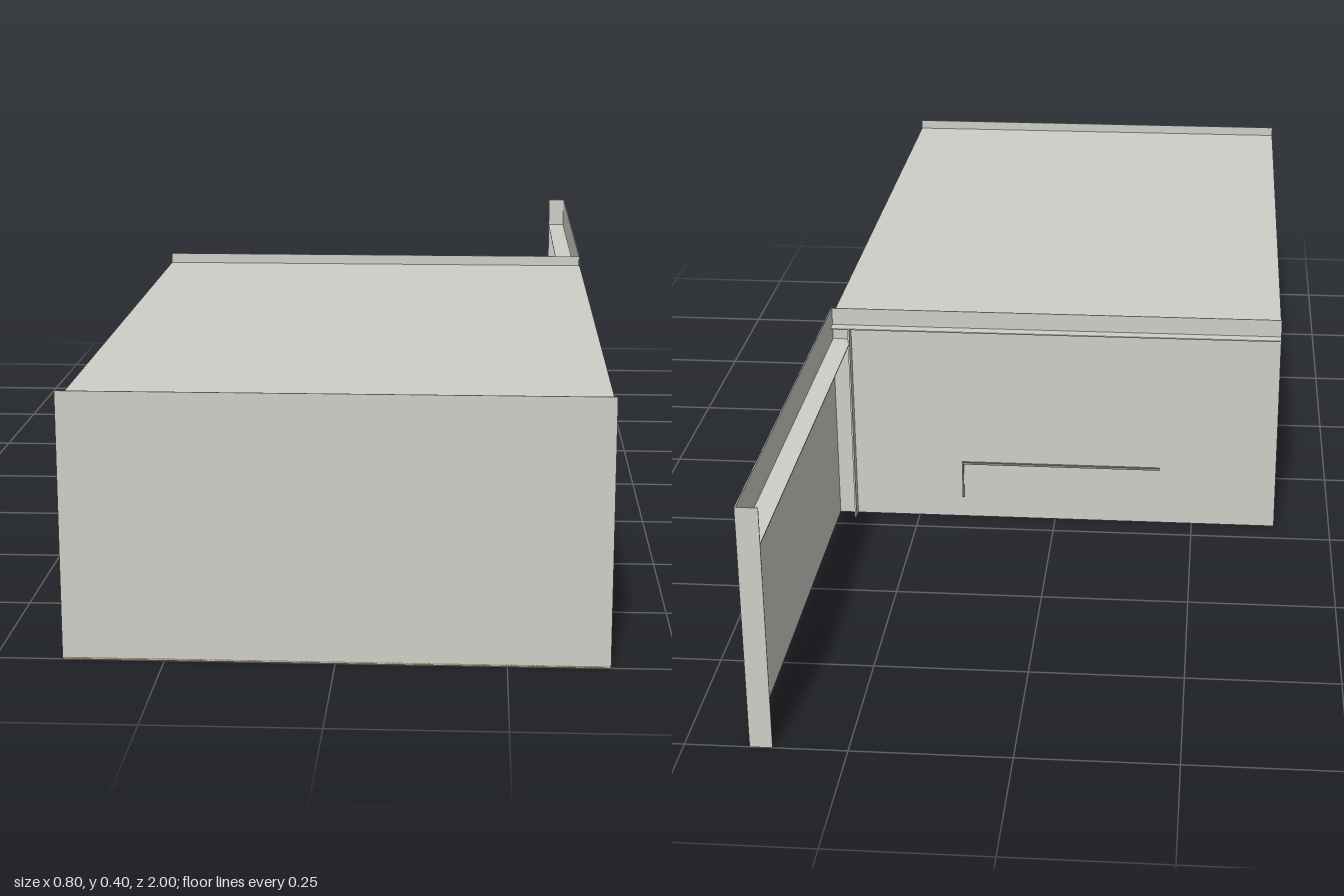
import * as THREE from 'three';

const mat = (name, color) => {
  const m = new THREE.MeshStandardMaterial({ color, side: THREE.DoubleSide });
  m.name = name;
  return m;
};

export function createModel() {
  const plaster = mat('plaster', 0xcfcfc9);
  const wood = mat('floorWood', 0x9c7b56);
  const metal = mat('metal', 0x85878a);
  const dark = mat('darkWood', 0x33302c);
  const brown = mat('seatBrown', 0x6e5c48);
  const potGrey = mat('potGrey', 0x9a9a96);
  const leafGreen = mat('leafGreen', 0x34382e);
  const root = new THREE.Group();

  const add = (parent, name, geo, m, x = 0, y = 0, z = 0) => {
    const mesh = new THREE.Mesh(geo, m);
    mesh.name = name;
    mesh.position.set(x, y, z);
    parent.add(mesh);
    return mesh;
  };
  // box given by its min and max corners
  const box = (parent, name, m, x0, x1, y0, y1, z0, z1) =>
    add(parent, name, new THREE.BoxGeometry(x1 - x0, y1 - y0, z1 - z0), m,
      (x0 + x1) / 2, (y0 + y1) / 2, (z0 + z1) / 2);
  const group = (name, x = 0, y = 0, z = 0) => {
    const g = new THREE.Group();
    g.name = name;
    g.position.set(x, y, z);
    root.add(g);
    return g;
  };
  // thin bar between two points
  const bar = (parent, name, m, a, b, r, sides = 6) => {
    const A = new THREE.Vector3(...a), B = new THREE.Vector3(...b);
    const d = B.clone().sub(A);
    const mesh = add(parent, name, new THREE.CylinderGeometry(r, r, d.length(), sides), m);
    mesh.position.copy(A).add(B).multiplyScalar(0.5);
    mesh.quaternion.setFromUnitVectors(new THREE.Vector3(0, 1, 0), d.normalize());
    return mesh;
  };

  // building shell
  const T = 0.002;
  box(root, 'floor', wood, -0.4, 0.4, 0.001, 0.003, -0.2, 1);
  box(root, 'roof', plaster, -0.4, 0.4, 0.383, 0.385, -0.2, 1);
  box(root, 'frontWall', plaster, -0.4, 0.4, 0, 0.403, 1 - T, 1);
  box(root, 'backWall', plaster, -0.4, 0.4, 0, 0.403, -0.2 - T, -0.2);
  box(root, 'backLedge', plaster, -0.4, 0.4, 0.37, 0.372, -0.222, -0.2);

  // garden wall running back from the house
  box(root, 'gardenWall', plaster, 0.4 - T, 0.4, 0, 0.403, -1, -0.19);
  box(root, 'gardenWallReturn', plaster, 0.365, 0.4, 0, 0.403, -1, -1 + T);
  box(root, 'gardenWallLedge', plaster, 0.365, 0.4, 0.343, 0.345, -1, -0.2);
  box(root, 'gardenWallPost', plaster, 0.365, 0.368, 0, 0.37, -0.222, -0.2);
  for (let i = 0; i < 4; i++)
    box(root, 'wallSpot', dark, 0.396, 0.402, 0.338, 0.342, -0.302 - i * 0.2, -0.298 - i * 0.2);

  // glazed right side: header ledge and slim mullions
  box(root, 'headerLedge', plaster, 0.37, 0.4, 0.343, 0.345, -0.2, 1);
  for (let i = 1; i < 8; i++) {
    const z = 1 - i * 0.1525;
    box(root, 'mullion', metal, 0.385, 0.4, 0.003, 0.345, z - 0.0008, z + 0.0008);
  }

  // sliding panels on the left side, on a bottom rail
  box(root, 'bottomRail', metal, -0.39, -0.375, 0.003, 0.014, -0.09, 0.998);
  for (let i = 0; i < 4; i++) {
    const z1 = 0.91 - i * 0.25;
    box(root, 'slidingPanel', plaster, -0.38, -0.375, 0.014, 0.35, z1 - 0.248, z1);
    box(root, 'panelEdge', metal, -0.382, -0.373, 0.014, 0.35, z1 - 0.25, z1 - 0.248);
    box(root, 'panelBlind', plaster, -0.374, -0.371, i === 3 ? 0.305 : 0.322, 0.348, z1 - 0.242, z1 - 0.006);
  }

  // dining table
  const table = group('table', 0.15, 0, 0.43);
  box(table, 'tableTop', dark, -0.055, 0.055, 0.09, 0.095, -0.08, 0.08);
  for (const sx of [-1, 1]) for (const sz of [-1, 1])
    bar(table, 'tableLeg', dark, [sx * 0.045, 0.003, sz * 0.058], [sx * 0.045, 0.09, sz * 0.05], 0.0025);
  for (const [x, z] of [[-0.02, -0.04], [0.02, 0.0], [-0.01, 0.04]])
    add(table, 'cup', new THREE.CylinderGeometry(0.005, 0.004, 0.01, 10), potGrey, x, 0.1, z);

  // chairs, the backrest on local -z
  const chair = (x, z, turn, m) => {
    const c = group('chair', x, 0, z);
    c.rotation.y = turn;
    box(c, 'seat', dark, -0.028, 0.028, 0.05, 0.057, -0.028, 0.03);
    const back = box(c, 'backrest', m, -0.03, 0.03, 0.066, 0.105, -0.032, -0.026);
    back.rotation.x = -0.15;
    for (const s of [-1, 1]) {
      bar(c, 'frontLeg', dark, [s * 0.03, 0.003, 0.034], [s * 0.023, 0.052, 0.022], 0.003);
      bar(c, 'backLeg', dark, [s * 0.03, 0.003, -0.038], [s * 0.023, 0.052, -0.018], 0.003);
      bar(c, 'backPost', dark, [s * 0.022, 0.052, -0.022], [s * 0.022, 0.085, -0.029], 0.003);
      box(c, 'armrest', dark, s * 0.029 - 0.002, s * 0.029 + 0.002, 0.07, 0.074, -0.028, 0.005);
    }
  };
  chair(0.13, 0.582, 0, dark);
  chair(0.13, 0.262, Math.PI, dark);
  chair(0.24, 0.425, -Math.PI / 2, brown);
  chair(0.05, 0.425, Math.PI / 2, brown);

  // pendant lights and ceiling spots
  for (const z of [0.38, 0.465]) {
    bar(root, 'pendantCord', dark, [0.15, 0.29, z], [0.15, 0.383, z], 0.0012);
    add(root, 'pendantShade', new THREE.CylinderGeometry(0.003, 0.005, 0.018, 10), dark, 0.15, 0.285, z);
  }
  for (const x of [-0.2, 0.15]) for (const z of [0.79, 0.67, 0.17, 0.05])
    add(root, 'ceilingSpot', new THREE.CylinderGeometry(0.005, 0.005, 0.004, 10), dark, x, 0.381, z);
  bar(root, 'slimLamp', dark, [-0.1, 0.003, 0.54], [-0.1, 0.165, 0.54], 0.0015);

  // sideboard against the back wall
  const sb = group('sideboard');
  box(sb, 'cabinet', potGrey, -0.19, 0.17, 0.03, 0.1, -0.2, -0.12);
  box(sb, 'cabinetTop', plaster, -0.192, 0.172, 0.1, 0.106, -0.2, -0.118);
  for (const x of [-0.18, 0.16]) for (const z of [-0.185, -0.13])
    box(sb, 'cabinetFoot', dark, x - 0.004, x + 0.004, 0.003, 0.03, z - 0.004, z + 0.004);
  for (let i = 1; i < 4; i++)
    box(sb, 'doorGap', dark, -0.19 + i * 0.09 - 0.001, -0.19 + i * 0.09 + 0.001, 0.034, 0.098, -0.12, -0.1185);
  for (const [x, h] of [[-0.12, 0.03], [0.0, 0.02], [0.1, 0.028]])
    add(sb, 'vase', new THREE.CylinderGeometry(0.006, 0.009, h, 12), potGrey, x, 0.106 + h / 2, -0.15);
  box(sb, 'wallMirror', metal, -0.05, 0.08, 0.13, 0.26, -0.199, -0.192);
  // thin trim showing on the outside of the back wall
  box(sb, 'outerTrim', metal, -0.19, 0.17, 0.106, 0.11, -0.206, -0.202);
  box(sb, 'outerTrimDrop', metal, 0.167, 0.17, 0.04, 0.11, -0.206, -0.202);

  // potted plant with leaves along a few stems
  const plant = group('plant', -0.33, 0.003, -0.088);
  const profile = [[0, 0], [0.026, 0], [0.022, 0.01], [0.026, 0.03], [0.033, 0.072], [0.035, 0.078], [0.03, 0.078], [0.028, 0.068], [0, 0.068]]
    .map(([x, y]) => new THREE.Vector2(x, y));
  add(plant, 'pot', new THREE.LatheGeometry(profile, 20), potGrey);
  const leafShape = new THREE.Shape();
  leafShape.moveTo(0, 0);
  leafShape.quadraticCurveTo(0.011, 0.012, 0, 0.028);
  leafShape.quadraticCurveTo(-0.011, 0.012, 0, 0);
  const leafGeo = new THREE.ShapeGeometry(leafShape, 4);
  for (let s = 0; s < 5; s++) {
    const a = s * 1.257, r = 0.018 + 0.004 * (s % 3), h = 0.15 + 0.012 * (s % 4);
    const tip = [Math.cos(a) * r, h, Math.sin(a) * r];
    bar(plant, 'stem', leafGreen, [0, 0.066, 0], tip, 0.0015, 5);
    for (let i = 0; i < 8; i++) {
      const t = 0.35 + i * 0.09;
      const leaf = add(plant, 'leaf', leafGeo, leafGreen, tip[0] * t, 0.066 + (h - 0.066) * t, tip[2] * t);
      leaf.rotation.set(0.6 + 0.25 * (i % 4), a + i * 2.4, 0, 'YXZ');
    }
  }
  return root;
}
